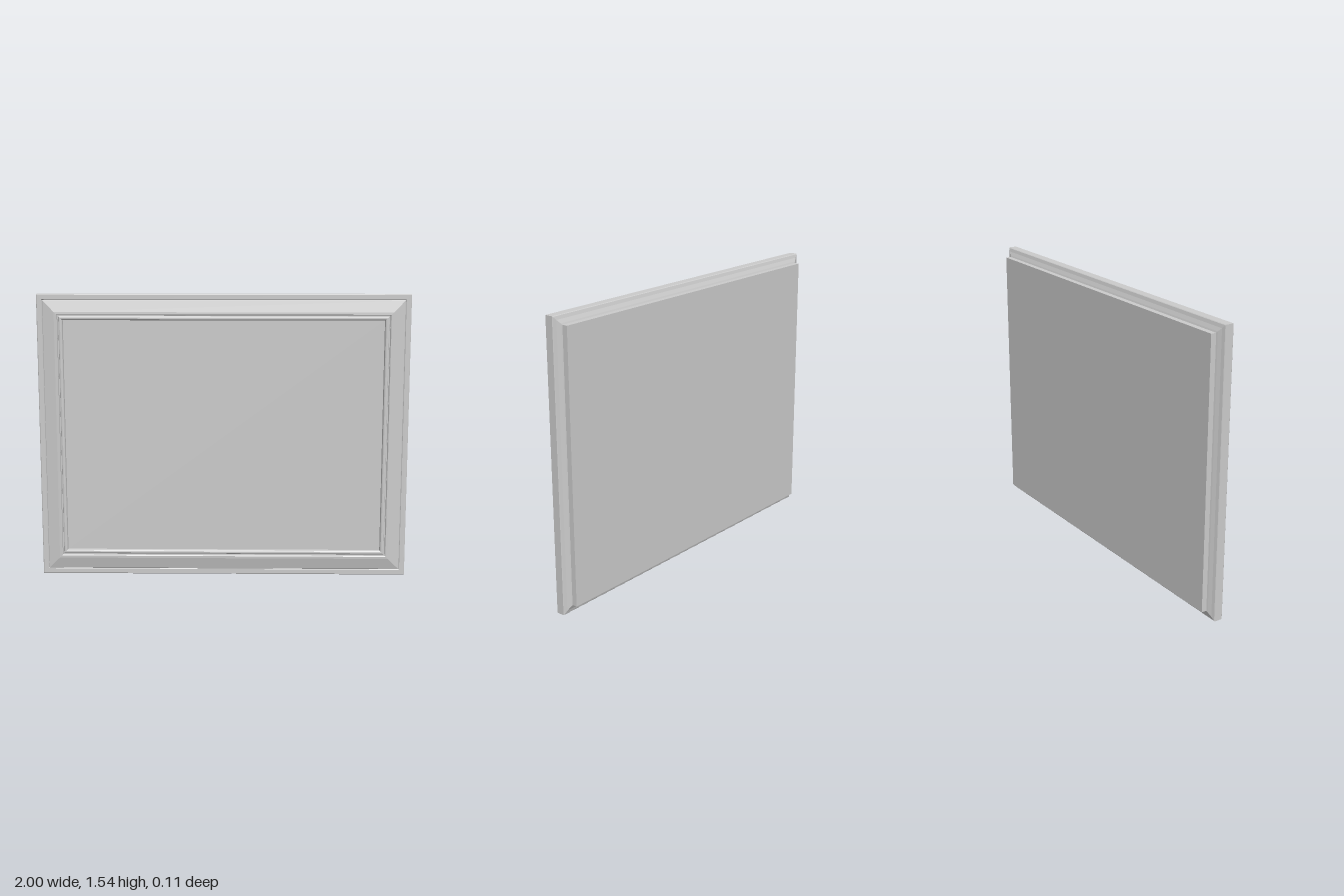
import * as THREE from 'three';

const HALF_W = 1, HALF_H = 0.7725;
const material = new THREE.MeshStandardMaterial({ color: 0xcccccc });

// Sweeps a moulding profile of [inset, z] points round a mitred rectangle.
function mitredMoulding(name, profile) {
  const signs = [[-1, -1], [1, -1], [1, 1], [-1, 1]];
  const corner = ([inset, z], i) => {
    const [sx, sy] = signs[i % 4];
    return [sx * (HALF_W - inset), sy * (HALF_H - inset), z];
  };
  const positions = [];
  for (let k = 0; k < profile.length - 1; k++) {
    for (let i = 0; i < 4; i++) {
      const a = corner(profile[k], i), b = corner(profile[k], i + 1);
      const c = corner(profile[k + 1], i + 1), d = corner(profile[k + 1], i);
      positions.push(...a, ...b, ...c, ...a, ...c, ...d);
    }
  }
  const geometry = new THREE.BufferGeometry();
  geometry.setAttribute('position', new THREE.Float32BufferAttribute(positions, 3));
  geometry.computeVertexNormals();
  const mesh = new THREE.Mesh(geometry, material);
  mesh.name = name;
  return mesh;
}

// Flat board filling the rectangle at an inset, between two depths.
function panel(name, inset, zBack, zFront) {
  const geometry = new THREE.BoxGeometry(2 * (HALF_W - inset), 2 * (HALF_H - inset), zFront - zBack);
  const mesh = new THREE.Mesh(geometry, material);
  mesh.name = name;
  mesh.position.z = (zBack + zFront) / 2;
  return mesh;
}

export function createModel() {
  const group = new THREE.Group();
  group.name = 'pictureFrame';
  const frame = new THREE.Group();
  frame.name = 'frame';
  frame.position.y = HALF_H;
  group.add(frame);

  // Outer moulding: stepped back, square rim, sloping face
  frame.add(mitredMoulding('outerMoulding', [
    [0.046, -0.057], [0.046, -0.028], [0.038, -0.025], [0.02, -0.016], [0.003, -0.011],
    [0, -0.008], [0, 0.035], [0.004, 0.039], [0.028, 0.039], [0.031, 0.036], [0.034, 0.039],
    [0.095, 0.055], [0.107, 0.056], [0.111, 0.053], [0.112, 0.042],
  ]));

  // Rounded bead around the opening
  const bead = [[0.112, 0.042], [0.117, 0.042]];
  for (let i = 0; i <= 6; i++) {
    const t = Math.PI * (1 - i / 6);
    bead.push([0.1275 + 0.0105 * Math.cos(t), 0.042 + 0.008 * Math.sin(t)]);
  }
  bead.push([0.14, 0.03]);
  frame.add(mitredMoulding('innerBead', bead));

  // Picture board and back board
  frame.add(panel('pictureBoard', 0.135, -0.02, 0.032));
  frame.add(panel('backBoard', 0.046, -0.057, -0.03));

  return group;
}
